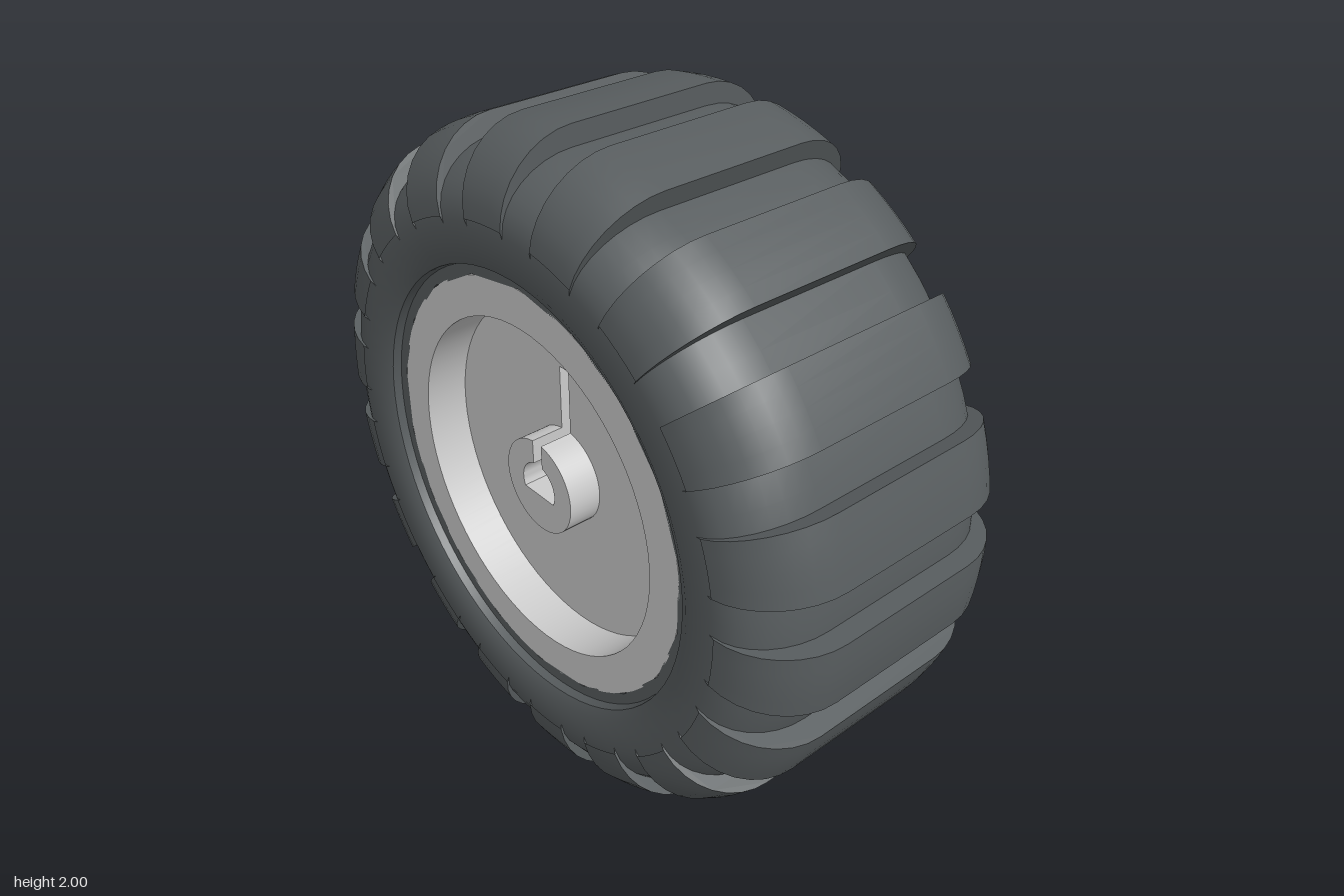
import * as THREE from 'three';
import { mergeGeometries, toCreasedNormals } from 'three/addons/utils/BufferGeometryUtils.js';

const RAD = Math.PI / 180;
const V = (r, x) => new THREE.Vector2(r, x);

// Half-open outer profile (radius, x) with rounded shoulders, from -x to +x
function treadProfile(radius, halfWidth, sideRadius) {
  const flat = 0.22, side = [];
  for (let i = 0; i <= 8; i++) {
    const t = (i / 8) * Math.PI / 2;
    side.push([sideRadius + (radius - sideRadius) * Math.sin(t), flat + (halfWidth - flat) * Math.cos(t)]);
  }
  return [...side.map(([r, x]) => V(r, -x)), ...side.reverse().map(([r, x]) => V(r, x))];
}

// Lathe around the x axle; angles run clockwise from the top as seen from +x
function axleLathe(points, segments, start = 0, sweep = 360) {
  const geo = new THREE.LatheGeometry(points, segments, (-90 - start - sweep) * RAD, sweep * RAD);
  return geo.rotateZ(-Math.PI / 2);
}

// Flat outline in the wheel plane, extruded along the axle from x0 to x1
function axleExtrude(shape, x0, x1) {
  const geo = new THREE.ExtrudeGeometry(shape, { depth: x1 - x0, bevelEnabled: false, curveSegments: 48 });
  return geo.rotateY(Math.PI / 2).translate(x0, 0, 0);
}

// Points of an arc, angles clockwise from the top
function arc(radius, from, to, steps) {
  return Array.from({ length: steps + 1 }, (_, i) => {
    const a = (from + ((to - from) * i) / steps) * RAD;
    return V(radius * Math.sin(a), radius * Math.cos(a));
  });
}

export function createModel() {
  const model = new THREE.Group();
  const rubber = new THREE.MeshStandardMaterial({ color: 0x585d5f, side: THREE.DoubleSide });
  const grey = new THREE.MeshStandardMaterial({ color: 0xcccccc });
  const add = (name, geo, material, crease = 30) => {
    const mesh = new THREE.Mesh(toCreasedNormals(geo, crease * RAD), material);
    mesh.name = name;
    mesh.position.y = 1;
    model.add(mesh);
  };

  // Tire carcass with a lip stepping in to the rim seat
  const lip = [V(0.40, 0.645), V(0.425, 0.65), V(0.44, 0.68)];
  const body = [
    ...lip.map(p => V(p.y, -p.x)),
    ...treadProfile(0.94, 0.44, 0.77),
    ...lip.slice().reverse().map(p => V(p.y, p.x)),
  ];
  add('tire', axleLathe(body, 72), rubber);

  // Faceted bore of the tire
  const bore = [V(0.66, 0.40), V(0.615, 0.40), V(0.615, -0.40), V(0.66, -0.40)];
  add('tireBore', axleLathe(bore, 18), rubber, 10);

  // Eighteen tread lugs wrapping over both shoulders
  const lugProfile = treadProfile(1, 0.445, 0.78);
  const lugSection = new THREE.Shape(
    [V(0.72, -0.43), ...lugProfile, V(0.72, 0.43)].map(p => V(p.y, p.x)));
  const lugs = [];
  for (let i = 0; i < 18; i++) {
    const start = i * 20, sweep = 11.5;
    lugs.push(axleLathe(lugProfile, 4, start, sweep));
    for (const a of [start, start + sweep]) {
      lugs.push(new THREE.ShapeGeometry(lugSection).rotateX(-a * RAD));
    }
  }
  add('treadLugs', mergeGeometries(lugs), rubber);

  // Rim barrel
  const rim = [V(0.5, -0.40), V(0.612, -0.40), V(0.612, 0.11), V(0.5, 0.11), V(0.5, -0.40)];
  add('rim', axleLathe(rim, 72), grey);

  // Castellated teeth on the deep side of the rim
  const teeth = [];
  for (let i = 0; i < 12; i++) {
    const a = 26 + i * 30;
    const tooth = new THREE.Shape([...arc(0.612, a, a + 15, 4), ...arc(0.5, a + 15, a, 4)]);
    teeth.push(axleExtrude(tooth, 0.1, 0.33));
  }
  add('rimTeeth', mergeGeometries(teeth), grey);

  // D-shaped axle hole with a narrow key slot above it
  const holeR = 0.07, slot = 0.0185, slotTop = 0.335;
  const slotAngle = Math.asin(slot / holeR) / RAD;
  const bottomAngle = 180 - Math.acos(0.03 / holeR) / RAD;
  const dHole = arc(holeR, slotAngle, bottomAngle, 10)
    .concat(arc(holeR, 360 - bottomAngle, 360 - slotAngle, 10));

  // Web disc
  const disc = new THREE.Shape().absarc(0, 0, 0.505, 0, Math.PI * 2);
  disc.holes.push(new THREE.Path([...dHole, V(-slot, slotTop), V(slot, slotTop)]));
  add('webDisc', axleExtrude(disc, -0.27, -0.05), grey);

  // Split hub boss standing proud of both faces of the disc
  const bossR = 0.142, gap = Math.asin(slot / bossR) / RAD;
  const boss = new THREE.Shape([...arc(bossR, gap, 360 - gap, 40), ...dHole.slice().reverse()]);
  add('hubBoss', axleExtrude(boss, -0.37, 0.05), grey);

  return model;
}
